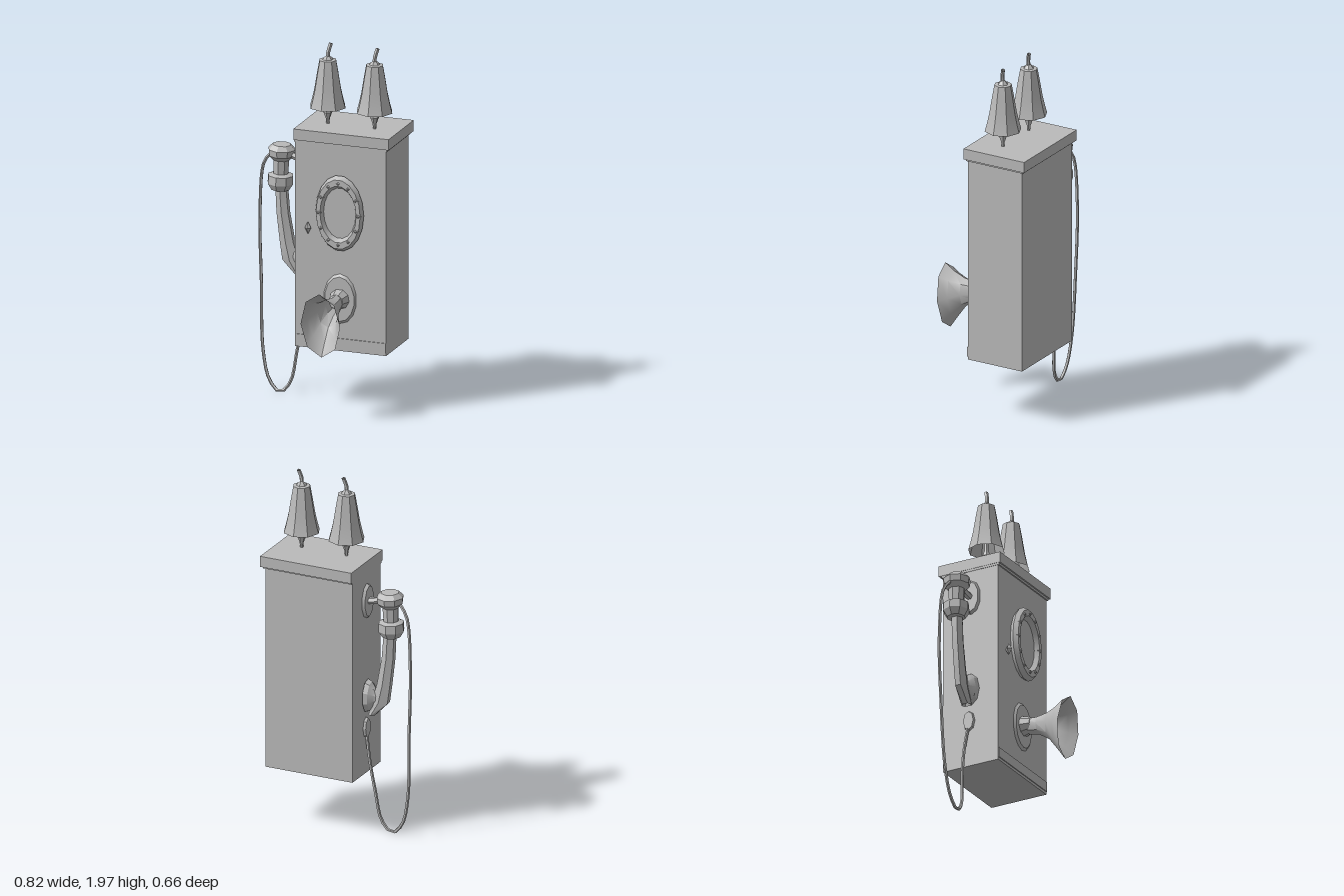
import * as THREE from 'three';
import { toCreasedNormals } from 'three/addons/utils/BufferGeometryUtils.js';

const grey = new THREE.MeshStandardMaterial({ color: 0xbababa, side: THREE.DoubleSide });
grey.name = 'plain grey';

const V = (x, y, z) => new THREE.Vector3(x, y, z);

// Adds a named mesh with crisp edges
function add(parent, name, geometry, x = 0, y = 0, z = 0, crease = 0.45) {
  const mesh = new THREE.Mesh(toCreasedNormals(geometry, crease), grey);
  mesh.name = name;
  mesh.position.set(x, y, z);
  parent.add(mesh);
  return mesh;
}

// Box given by its limits
function slab(parent, name, x0, x1, y0, y1, z0, z1) {
  return add(parent, name, new THREE.BoxGeometry(x1 - x0, y1 - y0, z1 - z0),
    (x0 + x1) / 2, (y0 + y1) / 2, (z0 + z1) / 2);
}

const lathe = (profile, sides = 9) =>
  new THREE.LatheGeometry(profile.map(([r, y]) => new THREE.Vector2(r, y)), sides);

const tube = (points, radius, segments, sides) =>
  new THREE.TubeGeometry(new THREE.CatmullRomCurve3(points), segments, radius, sides);

// Skin over rings [x, y, z, halfWidth, halfHeight, lean], stacked along z
function loft(rings, sides) {
  const pos = [], index = [];
  rings.forEach(([x, y, z, w, h, lean = 0], r) => {
    for (let i = 0; i < sides; i++) {
      const a = (i / sides) * Math.PI * 2 + Math.PI / 2;
      pos.push(x + Math.cos(a) * w, y + Math.sin(a) * h, z + Math.sin(a) * lean);
      if (r === 0) continue;
      const j = (i + 1) % sides, p = (r - 1) * sides, q = r * sides;
      index.push(p + i, p + j, q + j, p + i, q + j, q + i);
    }
  });
  const g = new THREE.BufferGeometry();
  g.setAttribute('position', new THREE.Float32BufferAttribute(pos, 3));
  g.setIndex(index);
  return g;
}

// Oval plate facing +z
function oval(w, h, depth, sides = 14) {
  const g = new THREE.CylinderGeometry(0.88, 1, depth, sides);
  g.rotateX(Math.PI / 2);
  return g.scale(w, h, 1);
}

function makeCabinet() {
  const cabinet = new THREE.Group();
  cabinet.name = 'cabinet';
  slab(cabinet, 'case', -0.13, 0.385, 0.34, 1.49, -0.31, 0.025);
  slab(cabinet, 'lid', -0.135, 0.405, 1.487, 1.547, -0.335, 0.04);
  slab(cabinet, 'lidMoulding', -0.133, 0.393, 1.475, 1.49, -0.32, 0.032);
  slab(cabinet, 'baseStrip', -0.125, 0.385, 0.355, 0.41, 0.02, 0.03);
  return cabinet;
}

function makeBell(x, name) {
  const bell = new THREE.Group();
  bell.name = name;
  bell.position.set(x, 0, -0.12);
  add(bell, 'bellShell', lathe([[0.1, 1.64], [0.09, 1.675], [0.075, 1.74],
    [0.06, 1.83], [0.047, 1.9], [0, 1.905]], 8));
  add(bell, 'bellPost', lathe([[0.008, 1.545], [0.011, 1.575], [0.024, 1.61],
    [0.012, 1.64], [0.012, 1.72]], 6));
  add(bell, 'bellFinial', tube([V(0, 1.89, 0), V(0.002, 1.94, 0.002), V(0.014, 1.99, -0.01)], 0.011, 4, 5));
  add(bell, 'finialCollar', lathe([[0.03, 1.9], [0.022, 1.912], [0.008, 1.925]], 6));
  return bell;
}

function makeDial() {
  const dial = new THREE.Group();
  dial.name = 'dial';
  dial.position.set(0.13, 1.11, 0.025);
  // Raised oval rim with a flat centre
  const rim = new THREE.TorusGeometry(1, 0.2, 6, 18);
  rim.scale(0.114, 0.175, 0.15);
  add(dial, 'dialRim', rim, 0, 0, 0.02);
  add(dial, 'dialFace', oval(0.118, 0.178, 0.03), 0, 0, 0.005);
  // Small beads round the rim
  for (let i = 0; i < 12; i++) {
    const a = (i / 12) * Math.PI * 2;
    add(dial, 'rimBead', new THREE.OctahedronGeometry(0.018), Math.cos(a) * 0.113, Math.sin(a) * 0.17, 0.038);
  }
  return dial;
}

function makeHorn() {
  const horn = new THREE.Group();
  horn.name = 'mouthpiece';
  add(horn, 'hornPlate', oval(0.095, 0.14, 0.014), 0.125, 0.63, 0.03);
  const mount = new THREE.CylinderGeometry(0.04, 0.058, 0.06, 9);
  mount.rotateX(Math.PI / 2);
  add(horn, 'hornMount', mount, 0.125, 0.63, 0.06);
  // Flared trumpet, taller than wide
  add(horn, 'hornFlare', loft([[0.125, 0.625, 0.07, 0.034, 0.048], [0.125, 0.615, 0.13, 0.043, 0.052],
    [0.122, 0.598, 0.2, 0.06, 0.08, 0.005], [0.12, 0.575, 0.26, 0.088, 0.13, 0.012],
    [0.12, 0.56, 0.308, 0.112, 0.18, 0.016]], 8), 0, 0, 0, 0.7);
  return horn;
}

function makeHandset() {
  const handset = new THREE.Group();
  handset.name = 'handset';
  // Wall plate and hook arm
  const plate = oval(0.06, 0.1, 0.018, 10);
  plate.rotateY(-Math.PI / 2);
  add(handset, 'hookPlate', plate, -0.137, 1.32, -0.14);
  add(handset, 'hookArm', tube([V(-0.13, 1.32, -0.14), V(-0.18, 1.33, -0.145), V(-0.23, 1.345, -0.145),
    V(-0.29, 1.33, -0.145)], 0.019, 6, 6));
  // Earpiece with a spread cap and a collar
  const ear = add(handset, 'earpiece', lathe([[0, 0.2], [0.05, 0.2], [0.075, 0.175], [0.07, 0.14], [0.045, 0.115],
    [0.042, 0.04], [0.07, 0.03], [0.072, -0.015], [0.05, -0.05], [0, -0.055]], 8), -0.278, 1.195, -0.145);
  ear.rotation.z = -0.04;
  // Tapered grip, bent inward at its foot
  const grip = loft([[-0.272, -0.145, -1.18, 0.034, 0.034], [-0.262, -0.145, -1.02, 0.038, 0.032],
    [-0.238, -0.145, -0.86, 0.044, 0.032], [-0.215, -0.145, -0.76, 0.054, 0.032],
    [-0.168, -0.145, -0.68, 0.02, 0.03]], 6);
  grip.rotateX(Math.PI / 2); // depth axis becomes height
  const p = grip.attributes.position;
  for (let i = 0; i < p.count; i++) p.setZ(i, -0.29 - p.getZ(i) < -0.2 ? p.getZ(i) : p.getZ(i));
  add(handset, 'grip', grip, 0, 0, 0);
  // Speaking cup turned towards the case
  const cup = lathe([[0.022, -0.04], [0.035, -0.01], [0.062, 0.015], [0.07, 0.04], [0.05, 0.045], [0, 0.03]], 9);
  cup.scale(1, 1, 0.85);
  cup.rotateZ(-Math.PI / 2);
  cup.scale(1, 1.35, 1);
  add(handset, 'speakingCup', cup, -0.175, 0.78, -0.145);
  return handset;
}

function makeCord() {
  const cord = new THREE.Group();
  cord.name = 'cord';
  add(cord, 'cordLoop', tube([V(-0.33, 1.34, -0.15), V(-0.378, 1.28, -0.165), V(-0.405, 1.0, -0.175),
    V(-0.395, 0.6, -0.17), V(-0.38, 0.24, -0.155), V(-0.34, 0.08, -0.145), V(-0.28, 0.022, -0.14),
    V(-0.222, 0.08, -0.145), V(-0.19, 0.25, -0.16), V(-0.16, 0.42, -0.165), V(-0.13, 0.6, -0.15)], 0.009, 44, 5),
    0, 0, 0, 0.9);
  const socket = oval(0.035, 0.06, 0.016, 8);
  socket.rotateY(-Math.PI / 2);
  add(cord, 'cordSocket', socket, -0.136, 0.6, -0.15);
  return cord;
}

export function createModel() {
  const model = new THREE.Group();
  model.name = 'wallTelephone';
  model.add(makeCabinet(), makeBell(0, 'rightBell'), makeBell(0.265, 'leftBell'),
    makeDial(), makeHorn(), makeHandset(), makeCord());
  // Small key beside the dial
  const key = new THREE.OctahedronGeometry(1);
  key.scale(0.018, 0.035, 0.02);
  add(model, 'key', key, -0.05, 1.01, 0.045);
  return model;
}
